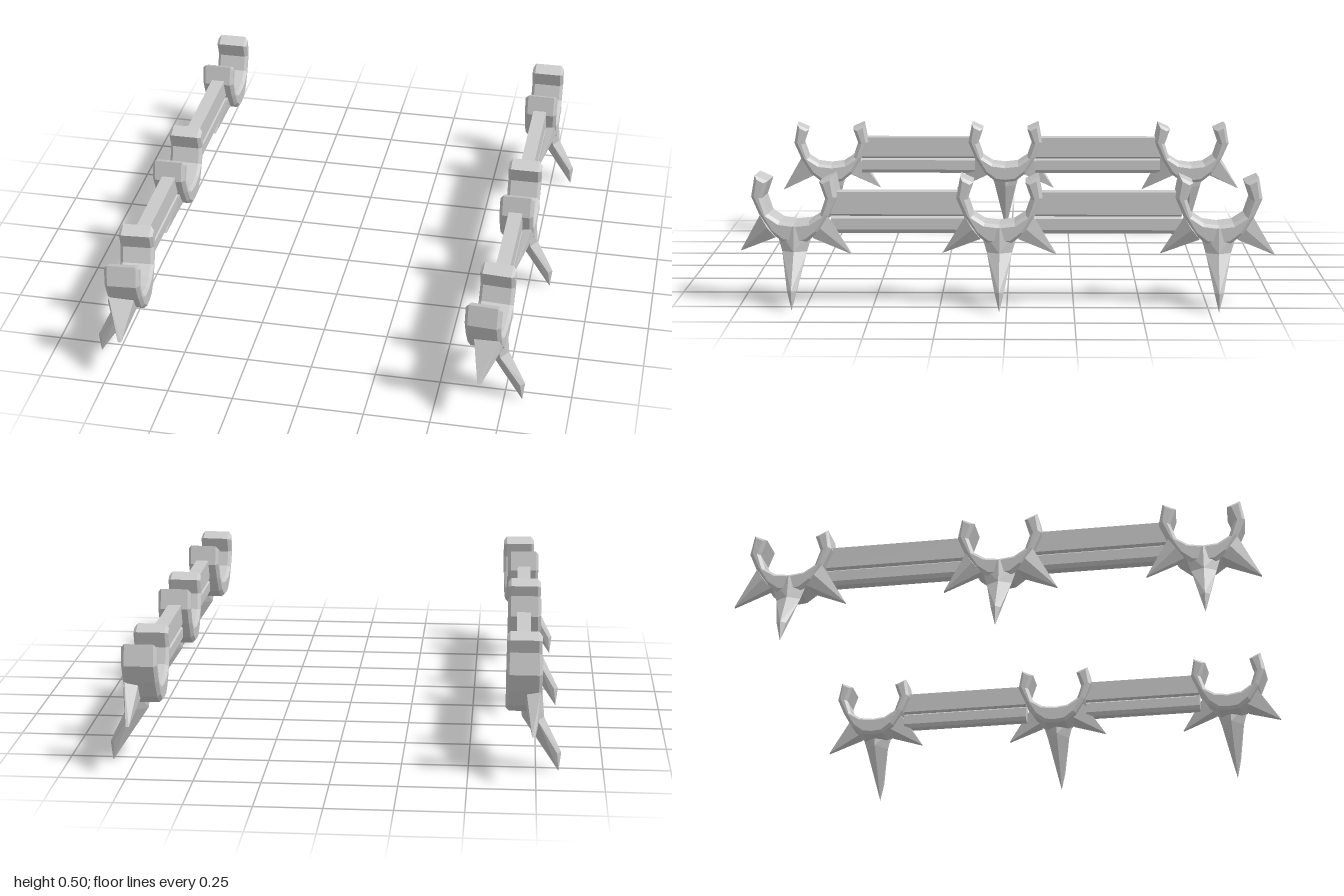
import * as THREE from 'three';
import { ConvexGeometry } from 'three/addons/geometries/ConvexGeometry.js';

const stone = new THREE.MeshStandardMaterial({ color: 0xc9c9c9 });
stone.name = 'light grey stone';

function add(parent, geometry, name) {
  const mesh = new THREE.Mesh(geometry, stone);
  mesh.name = name;
  parent.add(mesh);
  return mesh;
}

// Closed shape from one half outline, mirrored across the vertical axis
function mirroredShape(half) {
  const left = half.filter(p => p[0] > 0).reverse().map(([a, b]) => [-a, b]);
  return new THREE.Shape([...half, ...left].map(p => new THREE.Vector2(...p)));
}

// Solid hull; side mirrors the points in x
const hull = (points, side) =>
  new ConvexGeometry(points.map(([x, y, z]) => new THREE.Vector3(x * side, y, z)));

// U-shaped cradle with two kinked prongs
function cradleGeometry() {
  const shape = mirroredShape([
    [0, 0.24], [0.045, 0.245], [0.09, 0.28], [0.13, 0.345], [0.16, 0.415], [0.145, 0.495],
    [0.096, 0.473], [0.118, 0.41], [0.098, 0.35], [0.055, 0.322], [0, 0.315],
  ]);
  const bevel = 0.012;
  const width = 0.132;
  const geometry = new THREE.ExtrudeGeometry(shape, {
    depth: width - 2 * bevel, bevelEnabled: true, bevelSegments: 1,
    bevelSize: bevel, bevelThickness: bevel, bevelOffset: -bevel,
  });
  geometry.translate(0, 0, bevel - width / 2);
  return geometry.rotateY(-Math.PI / 2);
}

// Cross-section of the long spike, widest towards its outer ridge
const ring = (y, inner, outer, halfZ) => {
  const wide = inner + (outer - inner) * 0.7;
  return [[inner, y, 0], [outer, y, 0], [wide, y, halfZ], [wide, y, -halfZ]];
};

function makeClamp(side) {
  const clamp = new THREE.Group();
  add(clamp, cradleGeometry(), 'cradle');

  // Long spike bending outward to the ground
  const root = ring(0.305, -0.02, 0.068, 0.075);
  const bend = ring(0.21, -0.005, 0.077, 0.047);
  const end = ring(0.075, 0.09, 0.143, 0.018);
  add(clamp, hull([...root, ...bend], side), 'spikeRoot');
  add(clamp, hull([...bend, ...end, [0.135, 0, 0]], side), 'spikeTip');

  // Short claws pointing forward and backward, with a ridge on the outer face
  for (const [k, inner, outer, tip, name] of [
    [1, -0.035, 0.07, 0.008, 'frontClaw'], [-1, 0.01, 0.07, 0.038, 'backClaw'],
  ]) {
    add(clamp, hull([
      [inner, 0.335, k * 0.12], [outer - 0.01, 0.345, k * 0.128],
      [inner, 0.27, k * 0.075], [outer - 0.01, 0.262, k * 0.07],
      [outer, 0.3, k * 0.1],
      [tip - 0.006, 0.2, k * 0.213], [tip + 0.006, 0.2, k * 0.213],
    ], side), name);
  }
  return clamp;
}

// Flat-topped rail bar with a V groove along both sides
function railGeometry(z0, z1) {
  const shape = mirroredShape([
    [0.017, 0.275], [0.027, 0.29], [0.027, 0.332], [0.016, 0.34],
    [0.027, 0.348], [0.027, 0.432],
  ]);
  const geometry = new THREE.ExtrudeGeometry(shape, { depth: z1 - z0, bevelEnabled: false });
  return geometry.translate(0, 0, z0);
}

export function createModel() {
  const model = new THREE.Group();
  model.name = 'clawedRails';
  for (const side of [1, -1]) {
    const row = new THREE.Group();
    row.name = side > 0 ? 'leftRow' : 'rightRow';
    model.add(row);

    // Clamps: the front one is turned slightly inward
    for (const [name, x, z, turn] of [
      ['frontClamp', 0.684, 0.787, 0.07], ['middleClamp', 0.7, 0.027, 0], ['backClamp', 0.7, -0.785, 0],
    ]) {
      const clamp = makeClamp(side);
      clamp.name = name;
      clamp.position.set(side * x, 0, z);
      clamp.rotation.y = -side * turn;
      row.add(clamp);
    }

    // Rails between the clamps
    add(row, railGeometry(0.16, 0.655), 'frontRail').position.x = side * 0.698;
    add(row, railGeometry(-0.65, -0.105), 'backRail').position.x = side * 0.698;
  }
  return model;
}
